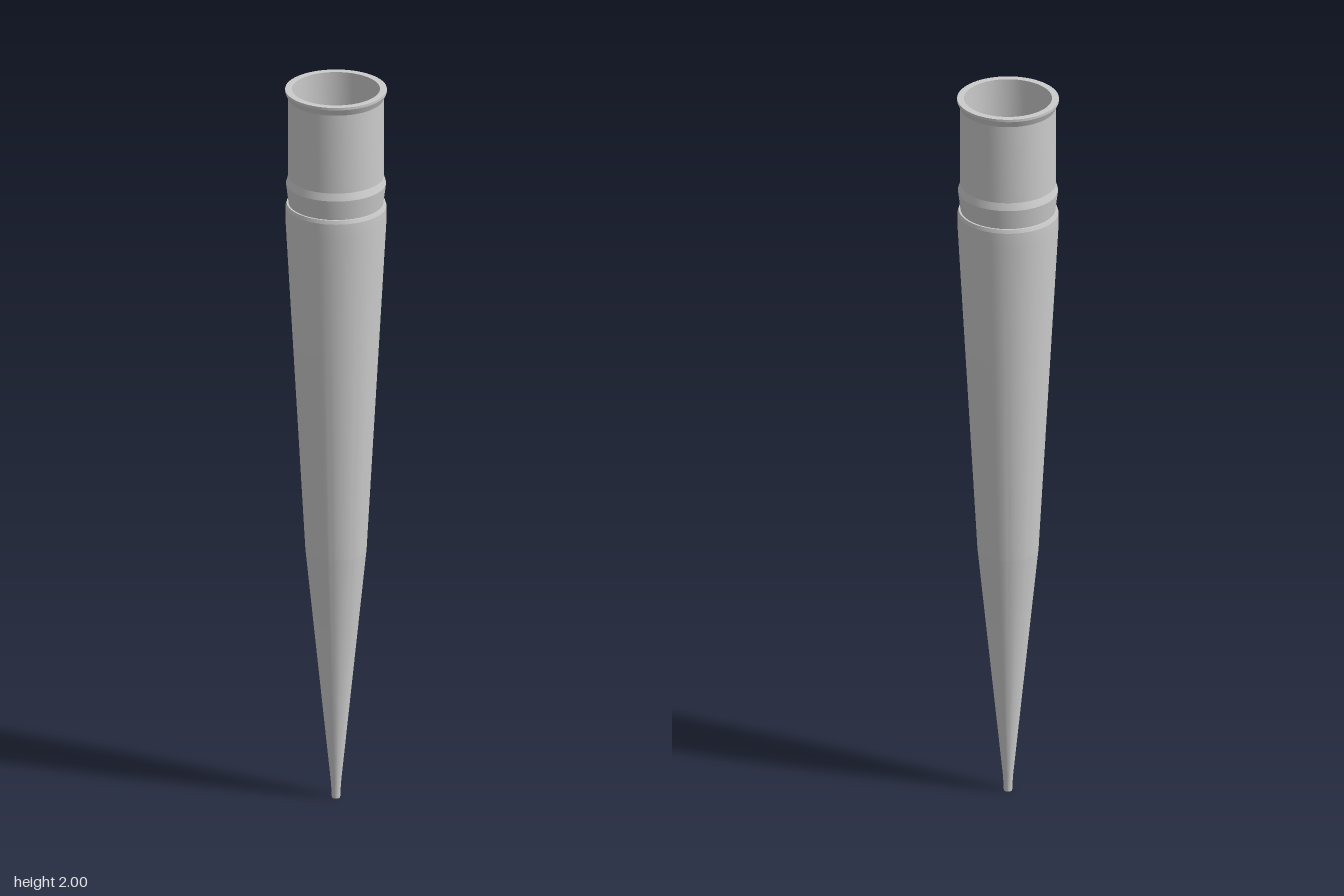
import * as THREE from 'three';
import { toCreasedNormals } from 'three/addons/utils/BufferGeometryUtils.js';

const SEGMENTS = 64;

// Turn a [radius, height] profile around the y axis, keeping its edges sharp
function turned(name, profile) {
  const points = profile.map(([r, y]) => new THREE.Vector2(r, y));
  const geometry = toCreasedNormals(new THREE.LatheGeometry(points, SEGMENTS), 0.2);
  const mesh = new THREE.Mesh(geometry, new THREE.MeshStandardMaterial({ color: 0xcccccc }));
  mesh.name = name;
  return mesh;
}

export function createModel() {
  const group = new THREE.Group();
  group.name = 'taperedTip';

  // Slender point with a short, nearly straight end
  group.add(turned('point', [[0, 0], [0.011, 0], [0.013, 0.04], [0.08, 0.7]]));

  // Long tapered body ending in a small ledge
  group.add(turned('body', [[0.08, 0.7], [0.132, 1.63], [0.132, 1.67], [0.129, 1.68], [0.124, 1.68]]));

  // Raised ring above the ledge
  group.add(turned('collar', [[0.124, 1.68], [0.131, 1.735], [0.125, 1.755]]));

  // Straight socket wall with a flared lip
  group.add(turned('socket', [[0.125, 1.755], [0.125, 1.975], [0.133, 1.993], [0.133, 2]]));

  // Flat rim, bore and floor of the socket
  group.add(turned('bore', [[0.133, 2], [0.115, 2], [0.115, 1.68], [0, 1.68]]));

  return group;
}
